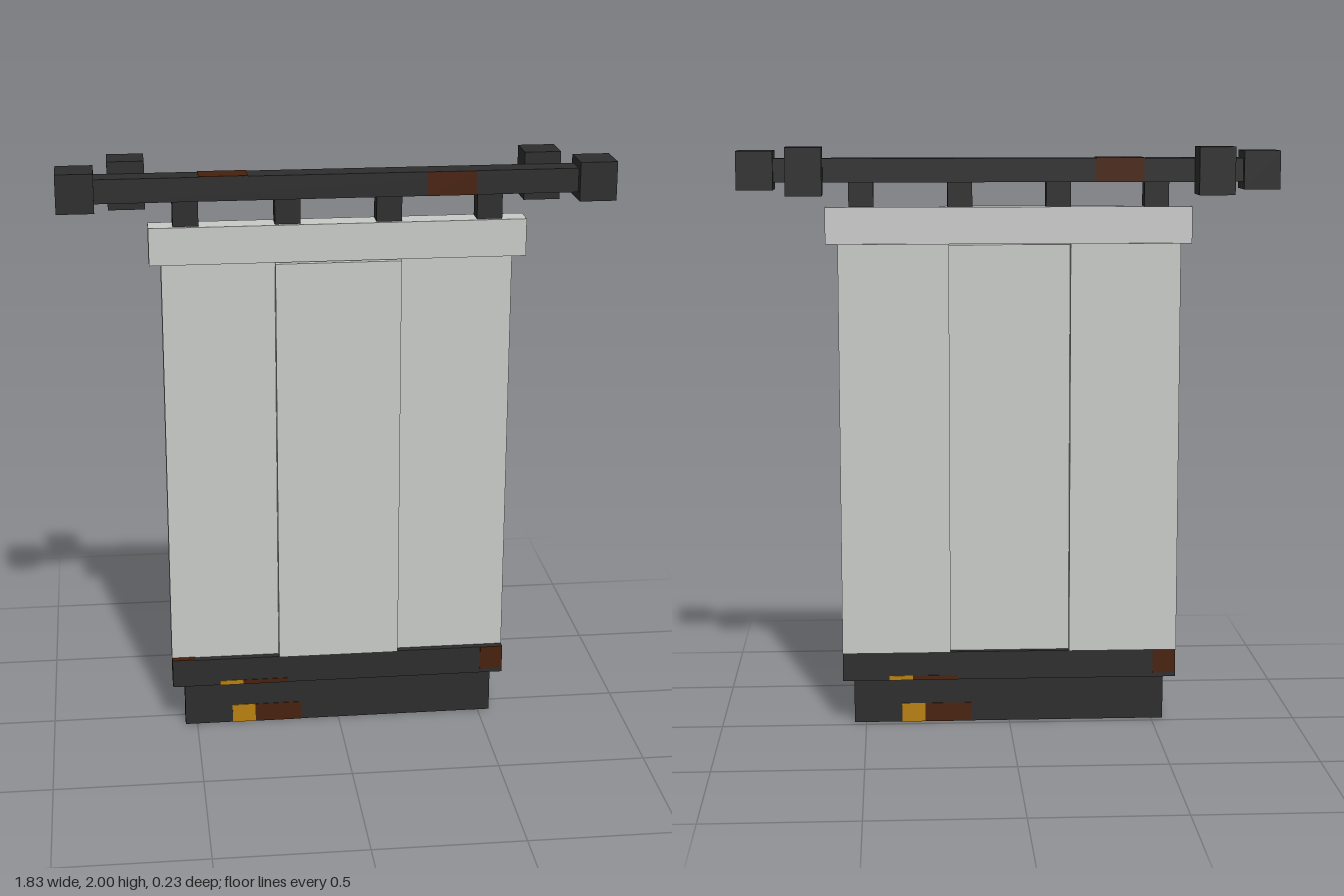
import * as THREE from 'three';

const material = (name, color) => {
  const m = new THREE.MeshStandardMaterial({ color });
  m.name = name;
  return m;
};

export function createModel() {
  const iron = material('dark iron', 0x2d2d2d);
  const cloth = material('pale cloth', 0xc8cac8);
  const rust = material('rust brown', 0x47210d);
  const gold = material('dull gold', 0xb9800f);

  const model = new THREE.Group();
  model.name = 'hangingBanner';

  // Box given by its limits along x, y and z
  const box = (name, mat, [x0, x1], [y0, y1], [z0, z1]) => {
    const mesh = new THREE.Mesh(new THREE.BoxGeometry(x1 - x0, y1 - y0, z1 - z0), mat);
    mesh.position.set((x0 + x1) / 2, (y0 + y1) / 2, (z0 + z1) / 2);
    mesh.name = name;
    model.add(mesh);
  };

  // Thin painted plates on the front and, turned half round, on the back
  const T = 0.002;
  const patch = (name, mat, [x0, x1], y, [back, front]) => {
    box(name + 'Front', mat, [x0, x1], y, [front - T, front + T]);
    box(name + 'Back', mat, [-x1, -x0], y, [back - T, back + T]);
  };

  // Top rail with end blocks and wall brackets
  const railZ = [0.002, 0.086];
  box('rail', iron, [-0.8, 0.8], [1.88, 1.96], railZ);
  for (const [a, b] of [[0.792, 0.915], [-0.915, -0.792]])
    box('railEnd', iron, [a, b], [1.855, 1.985], [-0.02, 0.115]);
  for (const [a, b] of [[0.627, 0.748], [-0.748, -0.627]])
    box('wallBracket', iron, [a, b], [1.84, 2], [-0.115, 0.006]);
  patch('railRust', rust, [0.292, 0.455], [1.88, 1.96], railZ);
  box('railRustTop', rust, [-0.455, -0.295], [1.96 - T, 1.96 + T], railZ);

  // Hangers between rail and header
  for (const x of [-0.5, -0.167, 0.167, 0.5])
    box('hanger', iron, [x - 0.042, x + 0.042], [1.79, 1.885], [0.016, 0.08]);

  // Header and the three staggered panels
  box('header', cloth, [-0.622, 0.622], [1.672, 1.797], [0.01, 0.094]);
  box('centrePanel', cloth, [-0.21, 0.207], [0.254, 1.668], [0.032, 0.1]);
  box('rightPanel', cloth, [-0.583, -0.208], [0.254, 1.673], [0.002, 0.07]);
  box('leftPanel', cloth, [0.205, 0.58], [0.254, 1.673], [0.002, 0.07]);

  // Weighted bottom bar in two steps
  const upperZ = [0.01, 0.094], lowerZ = [0.029, 0.075];
  box('upperWeight', iron, [-0.582, 0.58], [0.155, 0.254], upperZ);
  box('lowerWeight', iron, [-0.541, 0.541], [0, 0.156], lowerZ);

  // Worn paint on the weights
  patch('upperCornerRust', rust, [0.502, 0.58], [0.17, 0.254], upperZ);
  patch('upperGold', gold, [-0.418, -0.336], [0.155, 0.171], upperZ);
  patch('upperRust', rust, [-0.336, -0.182], [0.155, 0.171], upperZ);
  patch('lowerGold', gold, [-0.375, -0.294], [0, 0.066], lowerZ);
  patch('lowerRust', rust, [-0.294, -0.134], [0, 0.066], lowerZ);
  box('upperTopRust', rust, [-0.582, -0.502], [0.254 - T, 0.254 + T], [0.025, 0.094]);

  return model;
}
